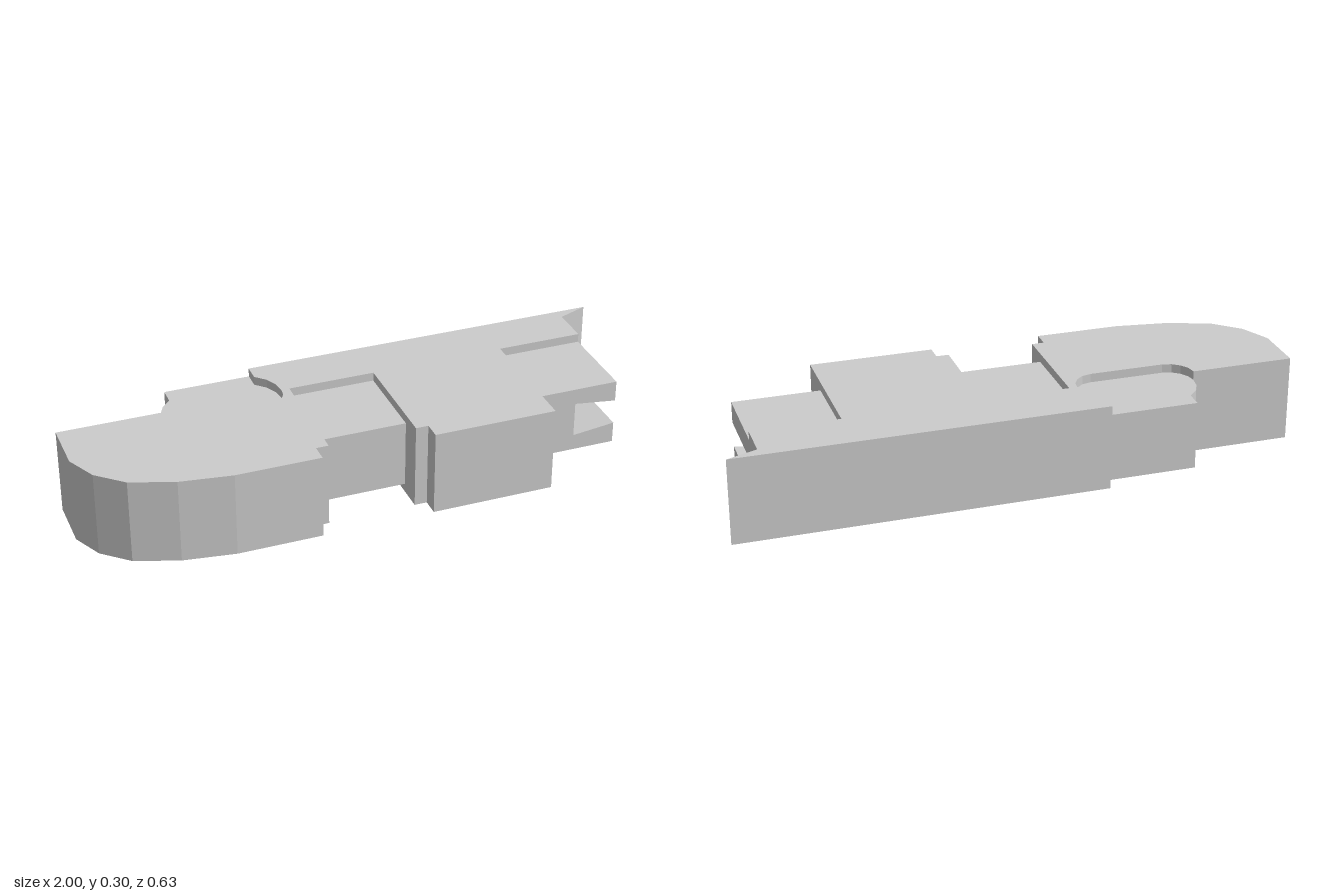
import * as THREE from 'three';

const H = 0.302;                 // full height
const LOW = 0.031, HIGH = 0.271; // height range of the recessed parts
const BACK = -0.315, FRONT = 0.315, STEP = -0.137, FACE = 0.165;

const material = new THREE.MeshStandardMaterial({ color: 0xcccccc, flatShading: true });

const makeShape = (points) => new THREE.Shape(points.map(([x, y]) => new THREE.Vector2(x, y)));

// Extrude a plan outline of [x, z] points from y0 up to y1
function planPrism(points, y0, y1) {
  const shape = makeShape(points.map(([x, z]) => [x, -z]));
  return new THREE.ExtrudeGeometry(shape, { depth: y1 - y0, bevelEnabled: false })
    .rotateX(-Math.PI / 2).translate(0, y0, 0);
}

// C-shaped block with a dovetail slot open to +x, extruded along z
const SLOT_X = 0.74, END_X = 0.893;
function slottedBlock(x0, y0, y1, z0, z1) {
  const c = H / 2;
  const arms = [
    [END_X, y0], [END_X, c - 0.045], [SLOT_X, c - 0.063],
    [SLOT_X, c + 0.063], [END_X, c + 0.045], [END_X, y1],
  ];
  const shape = makeShape([[x0, y0], ...arms, [x0, y1]]);
  return new THREE.ExtrudeGeometry(shape, { depth: z1 - z0, bevelEnabled: false }).translate(0, 0, z0);
}

export function createModel() {
  const group = new THREE.Group();
  const add = (name, geometry) => {
    const mesh = new THREE.Mesh(geometry, material);
    mesh.name = name;
    group.add(mesh);
  };

  // Rounded edge shared by the knob and its socket, from left to right
  const knobEdge = [
    [-0.582, -0.254], [-0.615, -0.22], [-0.634, -0.18], [-0.64, STEP], [-0.635, -0.105],
    [-0.617, -0.077], [-0.592, -0.058], [-0.56, -0.05], [-0.3, -0.05], [-0.268, -0.057],
    [-0.242, -0.077], [-0.225, -0.105], [-0.22, STEP], [-0.226, -0.18], [-0.245, -0.22],
    [-0.279, -0.254],
  ];
  const slopeZ = (x) => -0.212 - (x - SLOT_X) * (0.062 / (END_X - SLOT_X));

  // Full-height body with rounded nose, socket, bays and pointed tail
  add('body', planPrism([
    [-1, STEP], [-1, 0.05], [-0.95, 0.155], [-0.86, 0.235], [-0.71, 0.288], [-0.53, FRONT],
    [-0.235, FRONT], [-0.235, 0.253], [-0.192, 0.253], [-0.192, STEP],
    [0.113, STEP], [0.113, 0.253], [0.157, 0.253], [0.157, FRONT],
    [0.589, FRONT], [0.589, STEP], [SLOT_X, STEP], [SLOT_X, slopeZ(SLOT_X)],
    [END_X, slopeZ(END_X)], [1, BACK], [-0.279, BACK],
    ...knobEdge.slice(3).reverse(),
  ], 0, H));

  // Thinner knob seated in the socket, with its neck at the back
  add('knob', planPrism([[-0.582, BACK], ...knobEdge, [-0.279, BACK]], LOW, HIGH));

  // Thinner block in the middle bay
  add('middleBlock', new THREE.BoxGeometry(0.305, HIGH - LOW, FACE - STEP)
    .translate(-0.0395, H / 2, (FACE + STEP) / 2));

  // Thinner slotted block in the end bay
  add('slottedBlock', slottedBlock(0.589, LOW, HIGH, STEP, FACE));

  // Full-height jaws behind it, whose slot ends on the slope of the tail
  const jaws = slottedBlock(SLOT_X, 0, H, -0.3, STEP);
  const p = jaws.attributes.position;
  for (let i = 0; i < p.count; i++) {
    if (p.getZ(i) < -0.2) p.setZ(i, slopeZ(p.getX(i)));
  }
  jaws.computeVertexNormals();
  add('slotJaws', jaws);

  return group;
}
